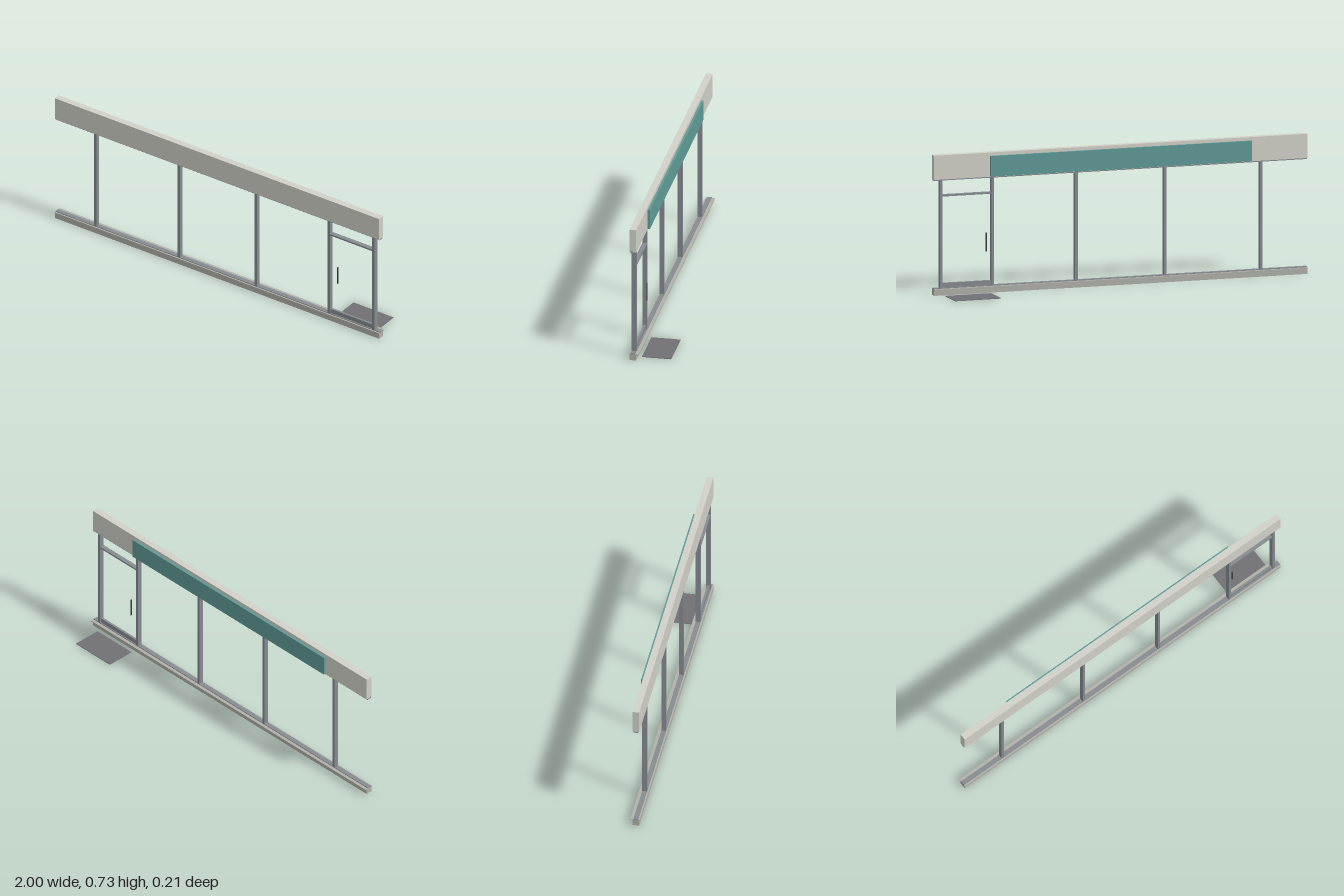
import * as THREE from 'three';

const mat = (color) => new THREE.MeshStandardMaterial({ color });

export function createModel() {
  const model = new THREE.Group();
  model.name = 'shopfront';
  const panel = mat(0xd0d0c8), stone = mat(0xb0b0a8), metal = mat(0x868b90);
  const teal = mat(0x5f9a96), dark = mat(0x3c3c40), rubber = mat(0x707075);

  // Box given by its extents on each axis
  const box = (name, material, [x0, x1], [y0, y1], [z0, z1], parent = model) => {
    const mesh = new THREE.Mesh(new THREE.BoxGeometry(x1 - x0, y1 - y0, z1 - z0), material);
    mesh.position.set((x0 + x1) / 2, (y0 + y1) / 2, (z0 + z1) / 2);
    mesh.name = name;
    parent.add(mesh);
  };

  const full = [-1, 1], wall = [0.067, 0.102], frame = [0.072, 0.096];

  // Plinth, sill and fascia
  box('plinth', stone, full, [0.002, 0.031], wall);
  box('sill', stone, full, [0.031, 0.036], [0.055, 0.104]);
  box('fascia', panel, full, [0.6, 0.725], wall);
  box('signPanel', teal, [-0.7, 0.7], [0.603, 0.708], [0.055, 0.067]);

  // Window frame
  box('bottomRail', metal, full, [0.034, 0.04], frame);
  box('headRail', metal, full, [0.594, 0.605], frame);
  for (const x of [-0.754, -0.24, 0.235, 0.684, 0.96]) {
    box('mullion', metal, [x - 0.0075, x + 0.0075], [0.036, 0.6], frame);
  }

  // Door
  const door = new THREE.Group();
  door.name = 'door';
  model.add(door);
  box('transom', metal, [0.69, 0.954], [0.511, 0.52], frame, door);
  box('kickRail', metal, [0.69, 0.954], [0.04, 0.064], [0.078, 0.09], door);
  box('handle', dark, [0.718, 0.723], [0.215, 0.313], [0.064, 0.069], door);

  // Mat on the ground outside the door
  box('doorMat', rubber, [0.7, 0.946], [0, 0.003], [-0.104, 0.047]);
  return model;
}
